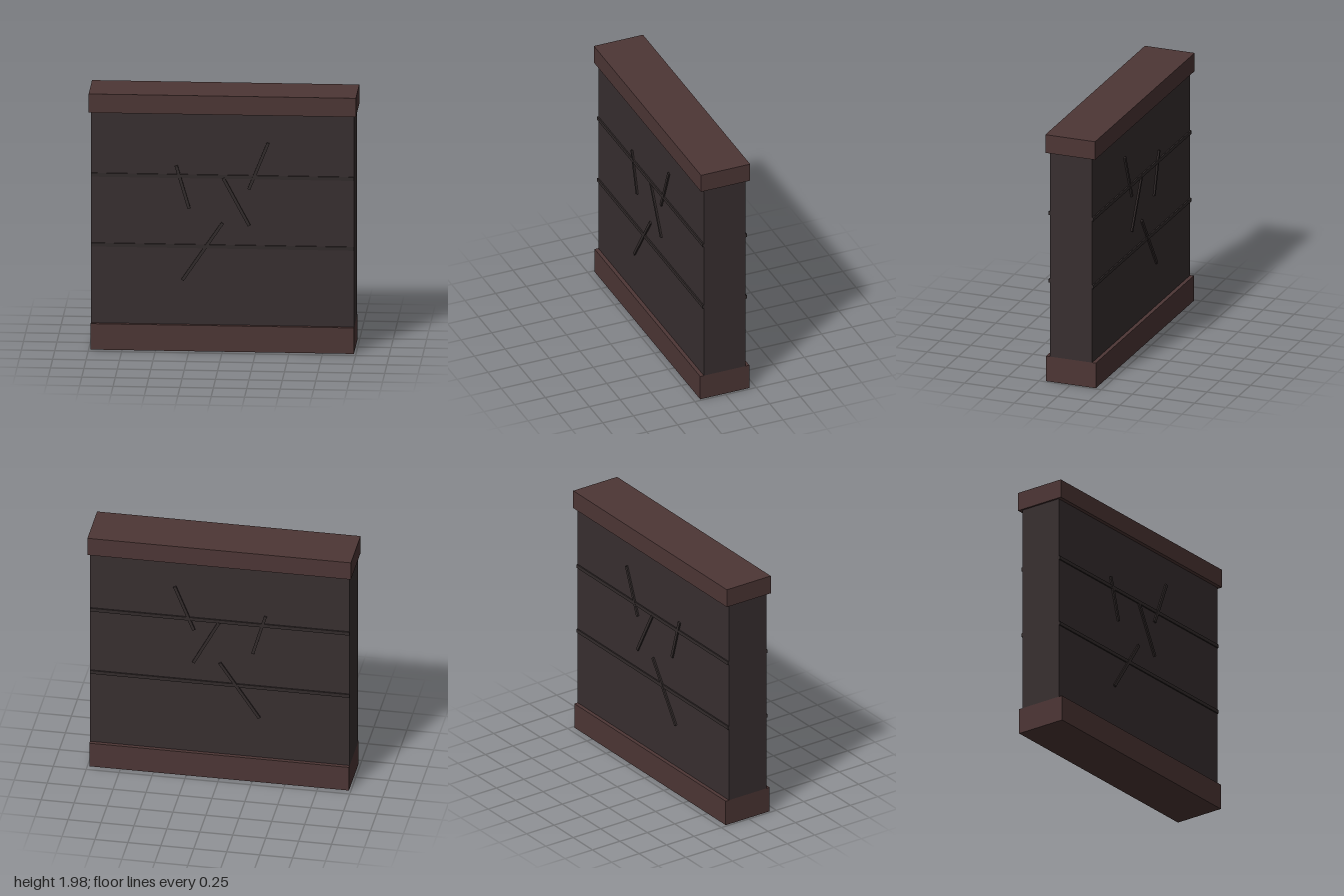
import * as THREE from 'three';

const trim = new THREE.MeshStandardMaterial({ color: 0x4d3635 });
trim.name = 'reddish brown trim';
const stone = new THREE.MeshStandardMaterial({ color: 0x382f30 });
stone.name = 'dark stone';
const groove = new THREE.MeshStandardMaterial({ color: 0x322b2b });
groove.name = 'darker seam';

export function createModel() {
  const model = new THREE.Group();
  model.name = 'wallSegment';

  const box = (name, w, h, d, x, y, z, material) => {
    const mesh = new THREE.Mesh(new THREE.BoxGeometry(w, h, d), material);
    mesh.name = name;
    mesh.position.set(x, y, z);
    model.add(mesh);
    return mesh;
  };

  // Plinth, wall slab and overhanging coping
  box('base', 1.97, 0.2, 0.4, 0, 0.1, 0, trim);
  box('wall', 1.97, 1.63, 0.34, 0, 1.015, 0, stone);
  box('cap', 2, 0.145, 0.4, 0, 1.9025, 0, trim);

  // Crack end points: x1, y1, x2, y2
  const cracks = [
    [-0.347, 1.425, -0.25, 1.095],
    [0.005, 1.335, 0.2, 0.97],
    [0.342, 1.612, 0.197, 1.252],
    [0, 0.987, -0.3, 0.542],
  ];

  // Seams and cracks are repeated on the front and the back
  for (const [label, side] of [['front', 1], ['back', -1]]) {
    for (const y of [0.805, 1.345]) {
      box(label + 'Seam', 1.97, 0.028, 0.02, 0, y, side * 0.17, groove);
    }
    for (const [x1, y1, x2, y2] of cracks) {
      const dx = x2 - x1, dy = y2 - y1;
      const crack = box(label + 'Crack', 0.023, Math.hypot(dx, dy), 0.022,
        (x1 + x2) / 2, (y1 + y2) / 2, side * 0.171, groove);
      crack.rotation.z = Math.atan2(dy, dx) - Math.PI / 2;
    }
  }
  return model;
}
